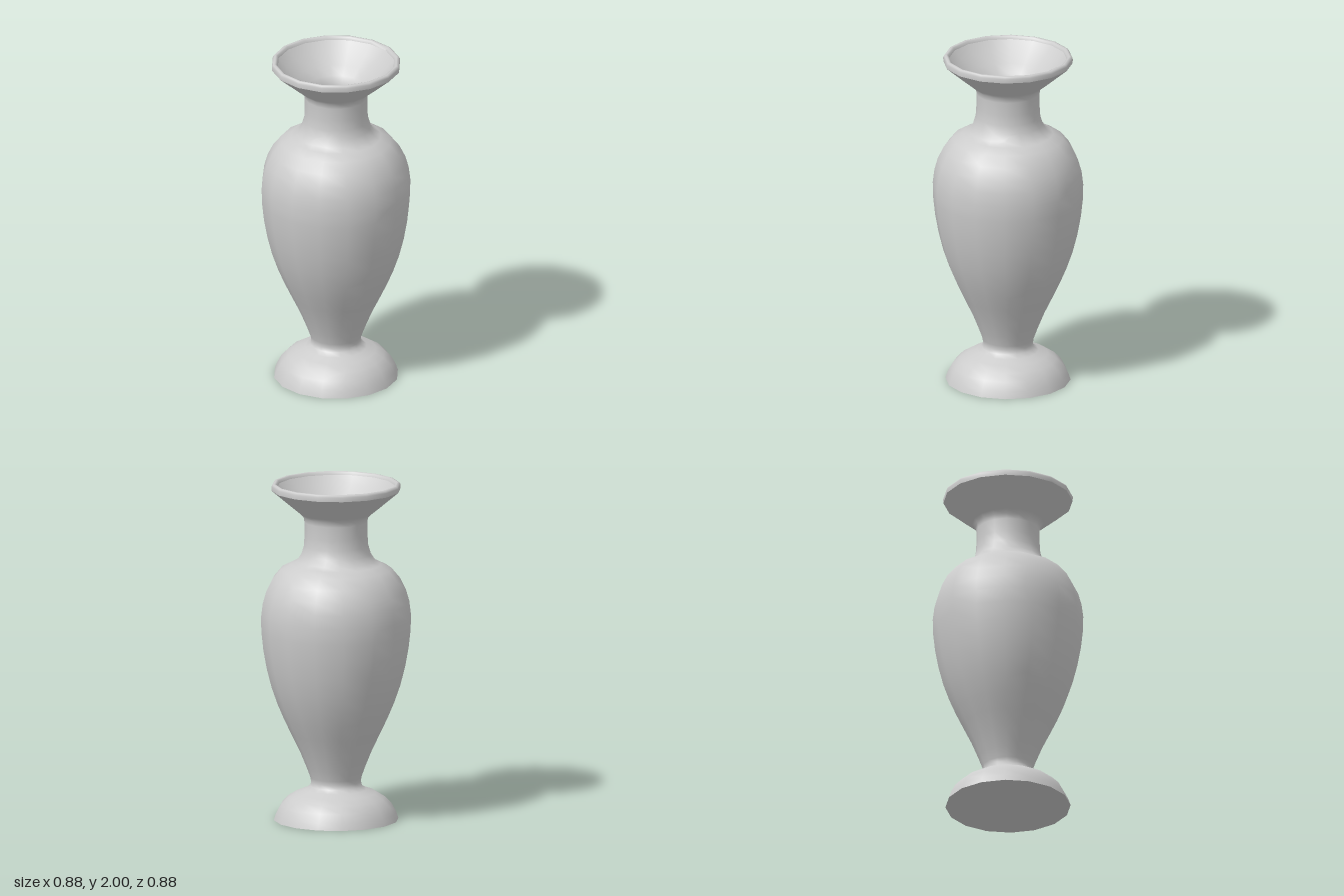
import * as THREE from 'three';

const SIDES = 16;

// Profiles as [radius, height], running from the underside up, over the lip and down inside
const PROFILES = [
  [[0, 0], [0.366, 0]],
  [[0.366, 0], [0.352, 0.04], [0.325, 0.09], [0.285, 0.13], [0.235, 0.16], [0.18, 0.18],
    [0.152, 0.2], [0.146, 0.225], [0.15, 0.25], [0.172, 0.31], [0.213, 0.41], [0.262, 0.51],
    [0.305, 0.6], [0.343, 0.69], [0.378, 0.79], [0.406, 0.9], [0.426, 1.01], [0.438, 1.12],
    [0.44, 1.21], [0.43, 1.29], [0.41, 1.36], [0.375, 1.43], [0.325, 1.49], [0.265, 1.52],
    [0.23, 1.54], [0.204, 1.58], [0.189, 1.63], [0.185, 1.69], [0.185, 1.77], [0.19, 1.8],
    [0.21, 1.82], [0.265, 1.865], [0.33, 1.92], [0.378, 1.96]],
  [[0.378, 1.96], [0.379, 1.985], [0.372, 1.997], [0.361, 2], [0.35, 1.996], [0.344, 1.98]],
  [[0.344, 1.98], [0.3, 1.93], [0.23, 1.87], [0.175, 1.825], [0.152, 1.79], [0.146, 1.75],
    [0.146, 1.66], [0.155, 1.58], [0.185, 1.53], [0.24, 1.49], [0.3, 1.45], [0.36, 1.36],
    [0.395, 1.25], [0.4, 1.15], [0.385, 1], [0.35, 0.83], [0.305, 0.69], [0.23, 0.53],
    [0.17, 0.4], [0.115, 0.31], [0.06, 0.28], [0, 0.27]],
];

// Centres of the shards; cracks run midway between neighbouring centres
const SHARDS = {
  frontBelly: [0.02, 0.95, 0.4], frontShoulder: [0.02, 1.39, 0.4],
  leftBelly: [0.42, 0.92, -0.25], leftShoulder: [0.42, 1.52, -0.2],
  rightBelly: [-0.44, 0.92, -0.02], rightShoulder: [-0.42, 1.48, -0.05],
  backBelly: [-0.08, 0.9, -0.44], backShoulder: [-0.05, 1.45, -0.42],
  frontStem: [0.1, 0.4, 0.26], backStem: [0.08, 0.36, -0.26], rightStem: [-0.28, 0.36, 0.08],
  leftFoot: [0.3, 0.03, 0.08], rightFoot: [-0.22, 0.03, 0.2], backFoot: [-0.05, 0.03, -0.32],
  leftRim: [0.275, 1.84, 0.03], rightRim: [-0.175, 1.84, 0.25], backRim: [0, 1.84, -0.4],
};

// Triangles of the whole vase; each corner is [x, y, z, nx, ny, nz]
function vaseTriangles() {
  const triangles = [];
  for (const profile of PROFILES) {
    const lathe = new THREE.LatheGeometry(profile.map(([r, y]) => new THREE.Vector2(r, y)), SIDES);
    const { position, normal } = lathe.attributes;
    const corner = (i) => [position.getX(i), position.getY(i), position.getZ(i),
      normal.getX(i), normal.getY(i), normal.getZ(i)];
    const index = lathe.index.array;
    for (let i = 0; i < index.length; i += 3) {
      const tri = [corner(index[i]), corner(index[i + 1]), corner(index[i + 2])];
      const [a, b, c] = tri.map((p) => new THREE.Vector3(...p.slice(0, 3)));
      if (new THREE.Triangle(a, b, c).getArea() > 1e-8) triangles.push(tri);
    }
  }
  return triangles;
}

// Plane halfway between two centres, positive on the side of the first
function crackPlane(a, b) {
  const p = new THREE.Vector3(...a);
  const q = new THREE.Vector3(...b);
  const normal = p.clone().sub(q).normalize();
  return new THREE.Plane().setFromNormalAndCoplanarPoint(normal, p.add(q).multiplyScalar(0.5));
}

// Keeps the part of a polygon on the positive side of a plane
function clip(polygon, plane) {
  const { x, y, z } = plane.normal;
  const dist = polygon.map((p) => p[0] * x + p[1] * y + p[2] * z + plane.constant);
  const kept = [];
  polygon.forEach((p, i) => {
    const j = (i + 1) % polygon.length;
    if (dist[i] >= 0) kept.push(p);
    if ((dist[i] >= 0) !== (dist[j] >= 0)) {
      const t = dist[i] / (dist[i] - dist[j]);
      kept.push(p.map((v, k) => v + (polygon[j][k] - v) * t));
    }
  });
  return kept;
}

function shardGeometry(triangles, planes) {
  const positions = [];
  const normals = [];
  for (const tri of triangles) {
    let polygon = tri;
    for (const plane of planes) polygon = clip(polygon, plane);
    for (let i = 1; i + 1 < polygon.length; i++) {
      for (const p of [polygon[0], polygon[i], polygon[i + 1]]) {
        positions.push(p[0], p[1], p[2]);
        normals.push(p[3], p[4], p[5]);
      }
    }
  }
  const geometry = new THREE.BufferGeometry();
  geometry.setAttribute('position', new THREE.Float32BufferAttribute(positions, 3));
  geometry.setAttribute('normal', new THREE.Float32BufferAttribute(normals, 3));
  return geometry;
}

export function createModel() {
  const vase = new THREE.Group();
  vase.name = 'crackedVase';
  const material = new THREE.MeshStandardMaterial({ color: 0xcccccc });
  const triangles = vaseTriangles();

  // One mesh per shard, fitted together without gaps
  for (const [name, centre] of Object.entries(SHARDS)) {
    const planes = Object.values(SHARDS).filter((other) => other !== centre)
      .map((other) => crackPlane(centre, other));
    const shard = new THREE.Mesh(shardGeometry(triangles, planes), material);
    shard.name = `${name}Shard`;
    vase.add(shard);
  }
  return vase;
}
